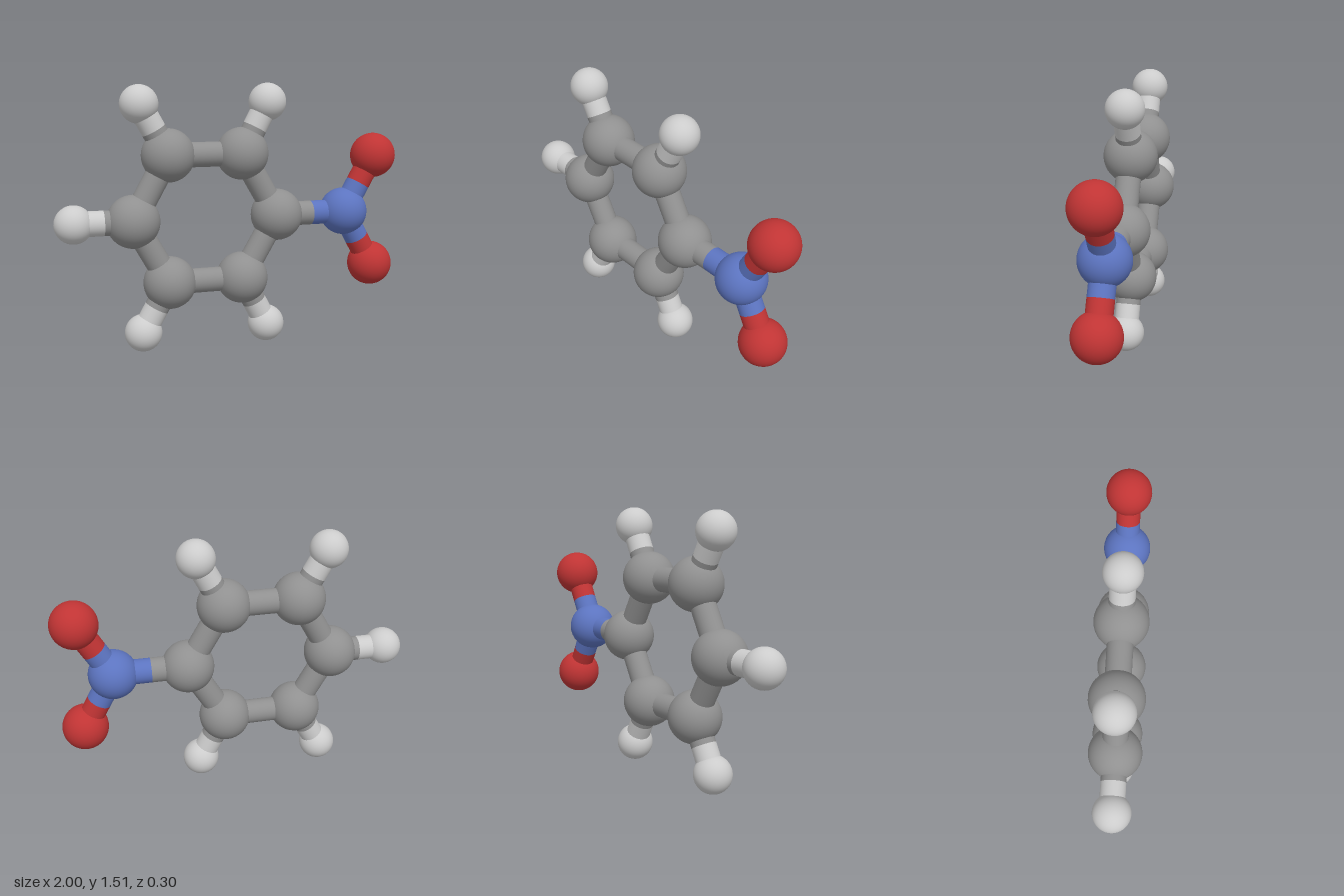
import * as THREE from 'three';

// Atom kinds: radius and material
const mat = (color) => new THREE.MeshStandardMaterial({ color });
const BOND_RADIUS = 0.07;

export function createModel() {
  const model = new THREE.Group();
  const kinds = {
    carbon: { radius: 0.149, material: mat(0x909090) },
    hydrogen: { radius: 0.106, material: mat(0xcccccc) },
    nitrogen: { radius: 0.139, material: mat(0x5c74c0) },
    oxygen: { radius: 0.131, material: mat(0xc03434) },
  };

  // All atoms lie in the plane z = 0
  function atom(kind, x, y) {
    const { radius, material } = kinds[kind];
    const ball = new THREE.Mesh(new THREE.SphereGeometry(radius, 48, 32), material);
    ball.name = kind + 'Atom';
    ball.position.set(x, y, 0);
    model.add(ball);
    return { kind, position: ball.position };
  }

  // Half a bond, coloured like the atom it starts from
  function halfBond(from, to) {
    const axis = to.position.clone().sub(from.position);
    const length = axis.length() / 2;
    const rod = new THREE.Mesh(
      new THREE.CylinderGeometry(BOND_RADIUS, BOND_RADIUS, length, 32, 1, true),
      kinds[from.kind].material
    );
    rod.name = from.kind + 'Bond';
    rod.position.copy(from.position).addScaledVector(axis, 0.25);
    rod.quaternion.setFromUnitVectors(new THREE.Vector3(0, 1, 0), axis.normalize());
    model.add(rod);
  }
  function bond(a, b) {
    halfBond(a, b);
    halfBond(b, a);
  }

  // Six-sided carbon ring, anticlockwise from the nitrogen side
  const ring = [
    [0.265, 0.757], [0.056, 1.117], [-0.37, 1.117],
    [-0.57, 0.757], [-0.37, 0.397], [0.056, 0.397],
  ].map(([x, y]) => atom('carbon', x, y));
  ring.forEach((c, i) => bond(c, ring[(i + 1) % 6]));

  // One hydrogen on each of the other five carbons
  [
    [0.204, 1.404], [-0.526, 1.398], [-0.894, 0.757], [-0.526, 0.116], [0.204, 0.11],
  ].forEach(([x, y], i) => bond(ring[i + 1], atom('hydrogen', x, y)));

  // Nitrogen with a mirrored pair of oxygens
  const nitrogen = atom('nitrogen', 0.685, 0.757);
  bond(ring[0], nitrogen);
  for (const s of [1, -1]) bond(nitrogen, atom('oxygen', 0.867, 0.757 + s * 0.328));

  return model;
}
